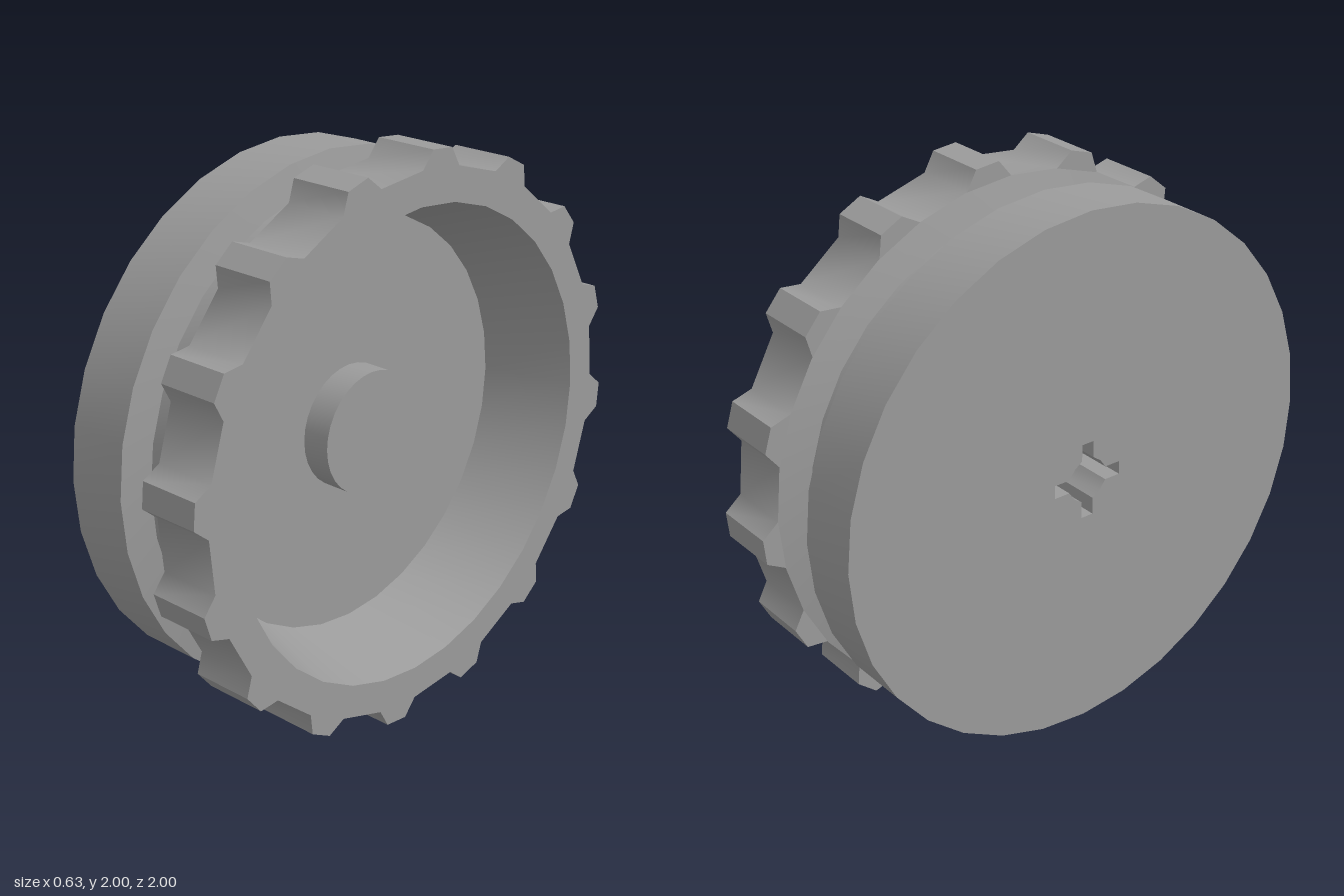
import * as THREE from 'three';
import { toCreasedNormals } from 'three/addons/utils/BufferGeometryUtils.js';

const SEGMENTS = 32, TEETH = 16;
const BACK = -0.315, FRONT = 0.315, FLOOR = 0;
const material = new THREE.MeshStandardMaterial({ color: 0x9b9b9b });

// The crease angle blends tooth roots into their flanks but keeps the tips sharp
function addMesh(group, name, geometry) {
  const mesh = new THREE.Mesh(toCreasedNormals(geometry, 0.87), material);
  mesh.name = name;
  group.add(mesh);
}

// Turned part: profile points are [radius, x]
function turned(profile) {
  const points = profile.map(([r, x]) => new THREE.Vector2(r, x));
  return new THREE.LatheGeometry(points, SEGMENTS).rotateZ(-Math.PI / 2);
}

// Outline in the wheel plane, extruded along x
function extruded(outline, hole, x0, x1) {
  const shape = new THREE.Shape(outline);
  shape.holes.push(new THREE.Path(hole));
  return new THREE.ExtrudeGeometry(shape, { depth: x1 - x0, bevelEnabled: false })
    .rotateY(Math.PI / 2).translate(x0, 0, 0);
}

// Point at a clockwise angle from the top, in degrees
function polar(r, degrees) {
  const a = THREE.MathUtils.degToRad(degrees);
  return new THREE.Vector2(r * Math.sin(a), r * Math.cos(a));
}

function circle(r) {
  return Array.from({ length: SEGMENTS }, (_, i) => polar(r, i * 360 / SEGMENTS));
}

function toothedOutline() {
  const points = [];
  for (let i = 0; i < TEETH; i++) {
    const a = i * 360 / TEETH + 5.45;
    points.push(polar(0.942, a - 5.4), polar(1.002, a - 2.6), polar(1.002, a + 2.6), polar(0.942, a + 5.4));
  }
  return points;
}

// Cross-shaped axle hole with cut inner corners
function crossOutline() {
  const arm = [[0.137, -0.024], [0.137, 0.024], [0.077, 0.024], [0.055, 0.055], [0.024, 0.077]];
  const points = [];
  for (let i = 0; i < 4; i++) {
    for (const [x, y] of arm) {
      points.push(new THREE.Vector2(x, y).rotateAround(new THREE.Vector2(), i * Math.PI / 2));
    }
  }
  return points;
}

export function createModel() {
  const group = new THREE.Group();
  group.name = 'wheel';

  // Plain rim with the axle hole in its back face
  addMesh(group, 'backRim', extruded(circle(0.943), crossOutline(), BACK, -0.085));
  addMesh(group, 'axleSocket', extruded(circle(0.18), crossOutline(), -0.085, 0.08));

  // Sloped groove between the two rims
  addMesh(group, 'groove', turned([[0.943, -0.085], [0.835, -0.065], [0.835, 0.06], [0.942, 0.085]]));

  // Toothed rim around the open front
  addMesh(group, 'toothedRim', extruded(toothedOutline(), circle(0.825), 0.085, FRONT));

  // Tapered recess with its flat floor
  addMesh(group, 'recess', turned([[0.825, FRONT], [0.73, FLOOR], [0.2, FLOOR]]));

  // Hub boss, hollow behind for the axle socket
  addMesh(group, 'hub', turned([[0, 0.08], [0.2, 0.08], [0.2, FLOOR], [0.217, FLOOR], [0.217, 0.105], [0, 0.105]]));

  group.position.y = 1;
  return group;
}
